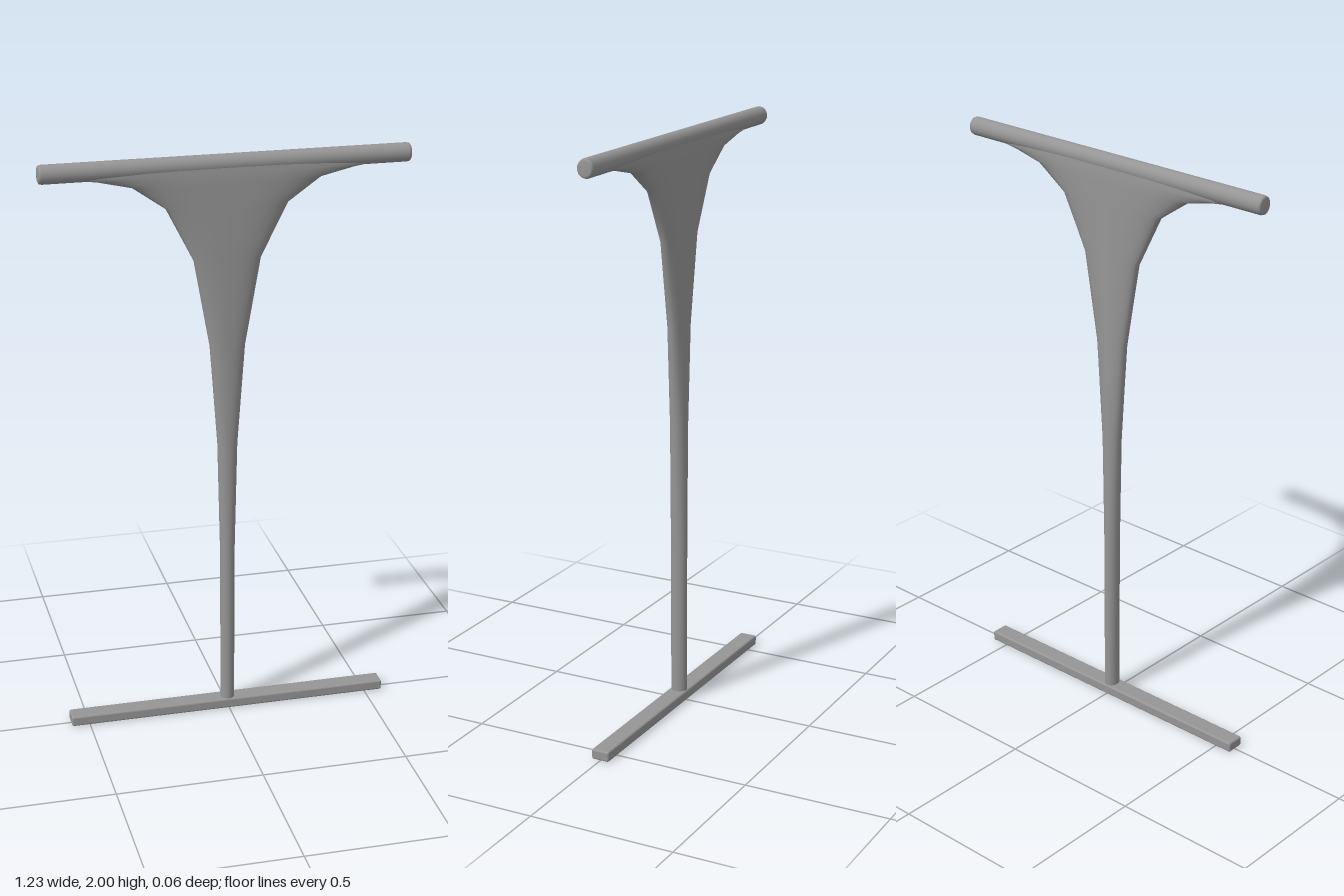
import * as THREE from 'three';
import { RoundedBoxGeometry } from 'three/addons/geometries/RoundedBoxGeometry.js';

const material = new THREE.MeshStandardMaterial({ color: 0x959595 });

function addPart(group, name, geometry) {
  const mesh = new THREE.Mesh(geometry, material);
  mesh.name = name;
  group.add(mesh);
}

// Skin of rounded cross-sections: [height, half width, half depth, squareness]
function loft(sections, sides) {
  const positions = [], index = [];
  const bend = (v, n) => Math.sign(v) * Math.abs(v) ** (2 / n);
  sections.forEach(([y, w, d, n], row) => {
    for (let i = 0; i < sides; i++) {
      const a = (i / sides) * Math.PI * 2;
      positions.push(w * bend(Math.cos(a), n), y, d * bend(Math.sin(a), n));
      if (row === 0) continue;
      const next = (i + 1) % sides;
      const low = (row - 1) * sides, high = row * sides;
      index.push(low + i, high + i, low + next, high + i, high + next, low + next);
    }
  });
  const geometry = new THREE.BufferGeometry();
  geometry.setAttribute('position', new THREE.Float32BufferAttribute(positions, 3));
  geometry.setIndex(index);
  geometry.computeVertexNormals();
  return geometry;
}

export function createModel() {
  const group = new THREE.Group();
  group.name = 'pedestalLeg';

  // Flat foot bar with softened edges
  const foot = new RoundedBoxGeometry(1.126, 0.036, 0.064, 3, 0.007);
  foot.translate(0, 0.018, 0);
  addPart(group, 'footBar', foot);

  // Stem flaring out into the top rail
  addPart(group, 'flaredStem', loft([
    [0.02, 0.024, 0.028, 2],
    [0.6, 0.025, 0.029, 2],
    [1.0, 0.034, 0.029, 2.1],
    [1.35, 0.06, 0.029, 2.2],
    [1.65, 0.113, 0.03, 2.4],
    [1.83, 0.204, 0.032, 2.6],
    [1.908, 0.315, 0.032, 2.8],
    [1.934, 0.43, 0.031, 2.8],
    [1.948, 0.53, 0.029, 2.8],
    [1.97, 0.56, 0.027, 2.8],
  ], 32));

  // Slightly oval top rail with eased ends
  const rail = [[0, -0.615], [0.024, -0.615], [0.029, -0.612], [0.0315, -0.604],
    [0.0315, 0.604], [0.029, 0.612], [0.024, 0.615], [0, 0.615]];
  const railGeometry = new THREE.LatheGeometry(rail.map(([r, y]) => new THREE.Vector2(r, y)), 24);
  railGeometry.rotateZ(Math.PI / 2).scale(1, 1, 0.92).translate(0, 1.9685, 0);
  addPart(group, 'topRail', railGeometry);

  return group;
}
